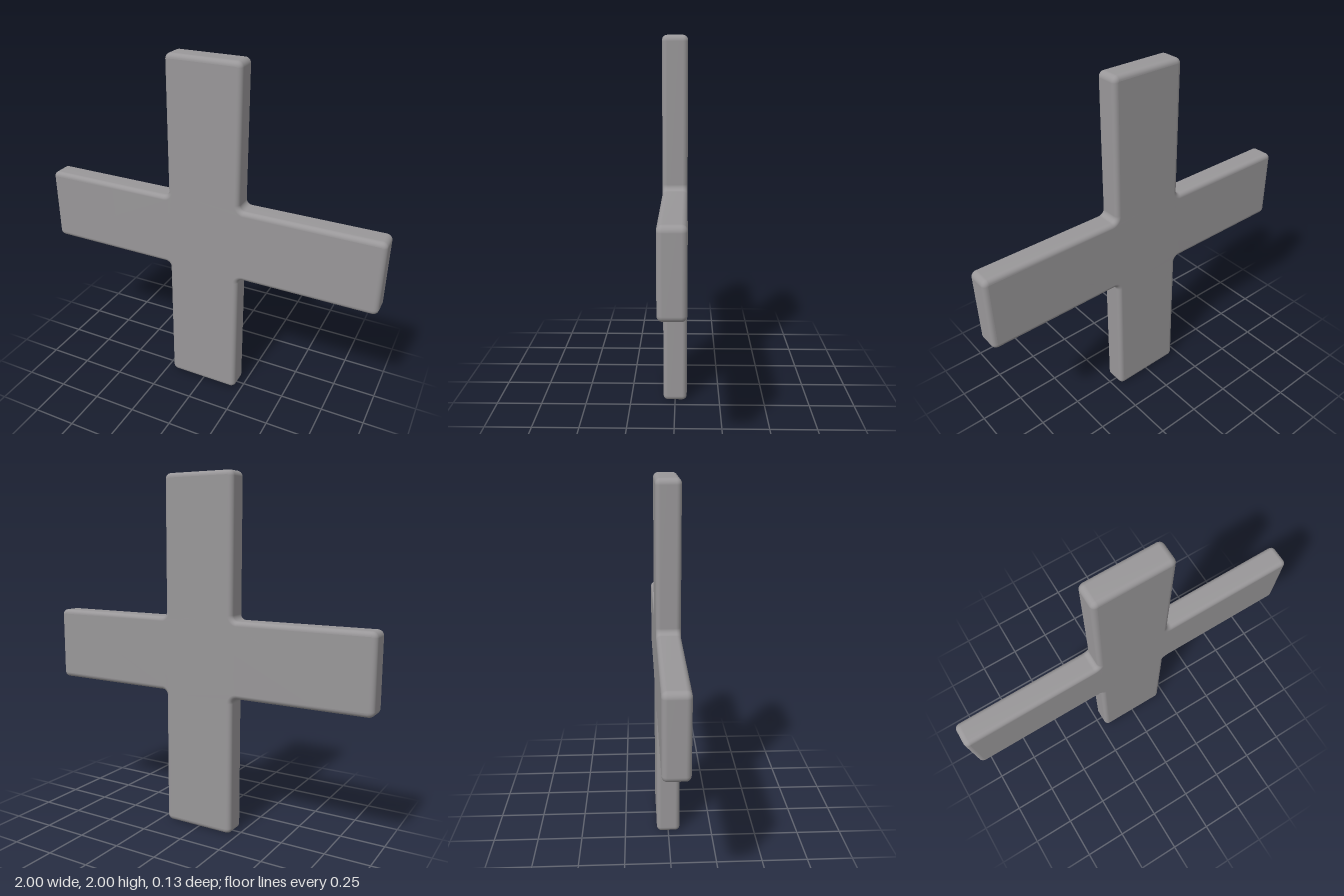
import * as THREE from 'three';
import { mergeVertices } from 'three/addons/utils/BufferGeometryUtils.js';

const THICKNESS = 0.132;
const BEVEL = 0.026; // rounding of all outer edges

// Plus-shaped outline, inset by the bevel, with small fillets in the inner corners
function plusOutline() {
  const reach = 1 - BEVEL, half = 0.213 - BEVEL;
  const outer = 0.006, inner = 0.03 + BEVEL;
  const shape = new THREE.Shape();
  const q = Math.PI / 2;
  for (let k = 0; k < 4; k++) {
    const turn = k * q, c = Math.cos(turn), s = Math.sin(turn);
    const arc = (x, y, r, from, to, clockwise) =>
      shape.absarc(x * c - y * s, x * s + y * c, r, from + turn, to + turn, clockwise);
    arc(half + inner, -half - inner, inner, 2 * q, q, true); // inner corner
    arc(reach - outer, -half + outer, outer, -q, 0, false); // arm end corners
    arc(reach - outer, half - outer, outer, 0, q, false);
  }
  return shape;
}

export function createModel() {
  const grey = new THREE.MeshStandardMaterial({ color: 0x999799 });
  grey.name = 'grey';

  // Rounded slab
  const slab = new THREE.ExtrudeGeometry(plusOutline(), {
    depth: THICKNESS - 2 * BEVEL,
    bevelEnabled: true,
    bevelThickness: BEVEL,
    bevelSize: BEVEL,
    bevelSegments: 6,
    curveSegments: 8,
  });
  slab.translate(0, 1, BEVEL - THICKNESS / 2);

  // Weld so that the rounded edges shade smoothly
  slab.deleteAttribute('uv');
  slab.deleteAttribute('normal');
  const smooth = mergeVertices(slab, 1e-4);
  smooth.clearGroups();
  smooth.computeVertexNormals();

  const cross = new THREE.Mesh(smooth, grey);
  cross.name = 'plusBody';

  const group = new THREE.Group();
  group.name = 'plusSign';
  group.add(cross);
  return group;
}
